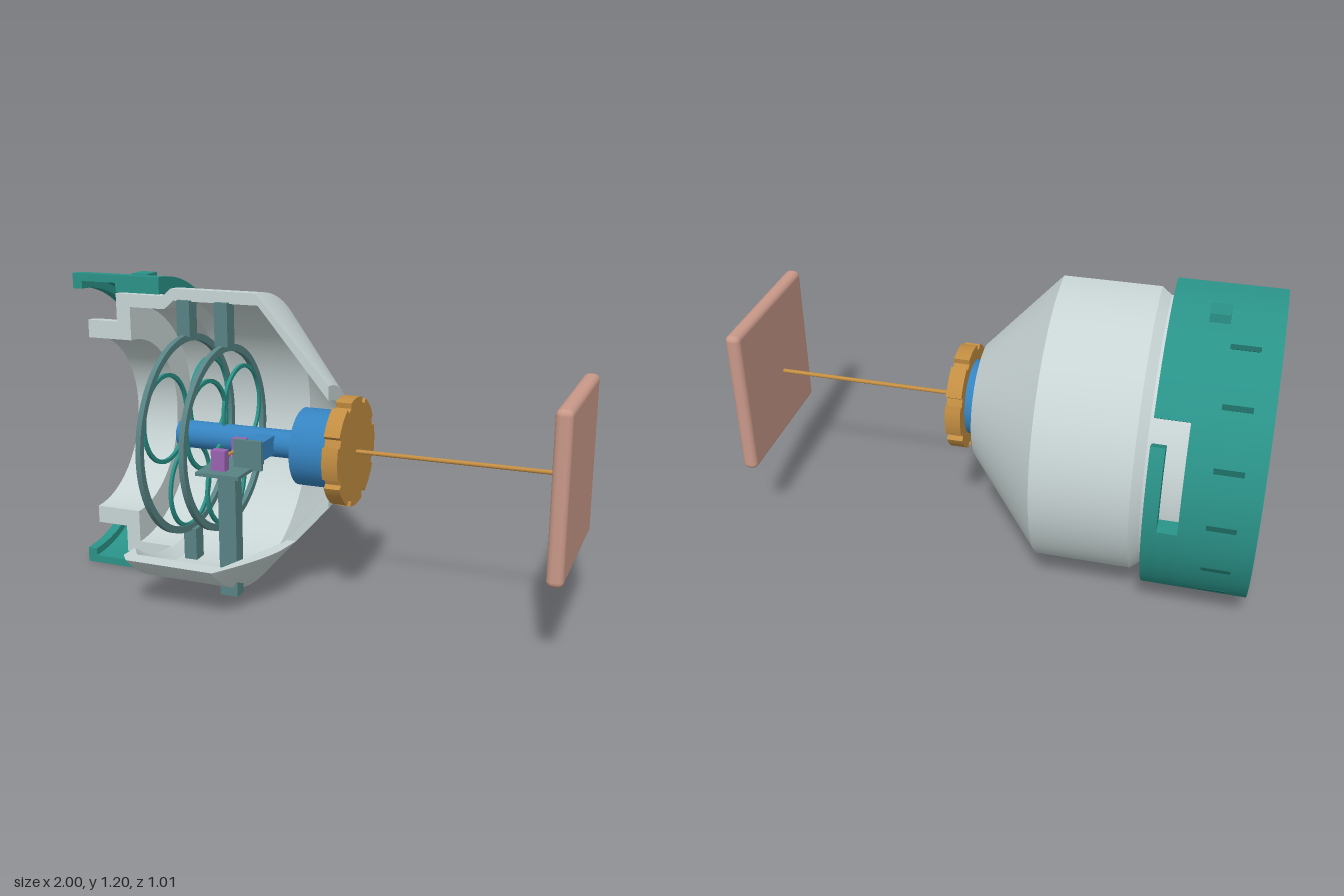
import * as THREE from 'three';
import { toCreasedNormals } from 'three/addons/utils/BufferGeometryUtils.js';
import { RoundedBoxGeometry } from 'three/addons/geometries/RoundedBoxGeometry.js';

const CY = 0.6, CZ = 0.09; // main axis runs along x
const DEG = Math.PI / 180;

function mat(name, color) {
  const m = new THREE.MeshStandardMaterial({ color });
  m.name = name;
  return m;
}

// Revolve a closed (x, r) profile about the x axis; angle 0 is down, 90 degrees is back.
// The limits may depend on the radius, which gives flat horizontal cuts.
function revolve(profile, from, to, seg) {
  const pos = [];
  const at = ([x, r], u) => {
    const a = from(r) + (to(r) - from(r)) * u;
    return [x, -r * Math.cos(a), -r * Math.sin(a)];
  };
  const tri = (a, b, c) => pos.push(...a, ...b, ...c);
  profile.forEach((p, i) => {
    const q = profile[(i + 1) % profile.length];
    for (let k = 0; k < seg; k++) {
      const a = at(p, k / seg), b = at(p, (k + 1) / seg);
      const c = at(q, k / seg), d = at(q, (k + 1) / seg);
      tri(a, b, c);
      tri(b, d, c);
    }
  });
  // end caps
  const flat = profile.map(([x, r]) => new THREE.Vector2(x, r));
  for (const f of THREE.ShapeUtils.triangulateShape(flat.slice(), [])) {
    const [a, b, c] = f.map((i) => flat[i]);
    const ccw = (b.x - a.x) * (c.y - a.y) - (b.y - a.y) * (c.x - a.x) > 0;
    const [i, j, k] = (ccw ? f : [f[0], f[2], f[1]]).map((n) => profile[n]);
    tri(at(i, 1), at(j, 1), at(k, 1));
    tri(at(i, 0), at(k, 0), at(j, 0));
  }
  const g = new THREE.BufferGeometry();
  g.setAttribute('position', new THREE.Float32BufferAttribute(pos, 3));
  return toCreasedNormals(g, 0.5);
}

const sector = (profile, a, b, seg = 64) => revolve(profile, () => a * DEG, () => b * DEG, seg);
const band = (x0, x1, r0, r1) => [[x0, r0], [x0, r1], [x1, r1], [x1, r0]];

// Split every edge of a profile so that curved cuts stay smooth
function subdivide(profile, n) {
  return profile.flatMap(([x, r], i) => {
    const [X, R] = profile[(i + 1) % profile.length];
    return Array.from({ length: n }, (_, k) => [x + (X - x) * k / n, r + (R - r) * k / n]);
  });
}

export function createModel() {
  const root = new THREE.Group();
  root.name = 'cutawayChamber';
  const white = mat('paleGrey', 0xc8d4d4), teal = mat('teal', 0x2a9288);
  const slate = mat('slateTeal', 0x588384), blue = mat('blue', 0x3583c0);
  const orange = mat('ochre', 0xc28d42), pink = mat('dustyPink', 0xc89888);
  const purple = mat('purple', 0x9a62b0), dark = mat('darkTeal', 0x1b675f);

  const add = (name, geo, m, x = 0, y = CY, z = CZ) => {
    const mesh = new THREE.Mesh(geo, m);
    mesh.name = name;
    mesh.position.set(x, y, z);
    root.add(mesh);
    return mesh;
  };
  // box and cylinder given by their extents
  const box = (name, m, x0, x1, y0, y1, z0, z1) =>
    add(name, new THREE.BoxGeometry(x1 - x0, y1 - y0, z1 - z0), m, (x0 + x1) / 2, (y0 + y1) / 2, (z0 + z1) / 2);
  const rodX = (name, m, x0, x1, r) =>
    add(name, new THREE.CylinderGeometry(r, r, x1 - x0, 40).rotateZ(-Math.PI / 2), m, (x0 + x1) / 2);

  // Half shell with stepped neck, drum and cone
  add('housing', sector([
    [-0.94, 0.35], [-0.94, 0.42], [-0.81, 0.42], [-0.81, 0.53], [-0.605, 0.53], [-0.57, 0.56],
    [-0.22, 0.56], [0.07, 0.235], [0.07, 0.18], [-0.21, 0.515], [-0.56, 0.515], [-0.6, 0.48],
    [-0.75, 0.48], [-0.75, 0.35],
  ], 0, 180), white);

  // Lower front part of the shell, cut flat on top
  const cut = 0.385;
  const lower = subdivide([
    [-0.605, 0.48], [-0.605, 0.53], [-0.57, 0.56], [-0.22, 0.56], [-0.064, cut],
    [-0.101, cut], [-0.21, 0.515], [-0.56, 0.515], [-0.6, 0.48],
  ], 10);
  add('housingTray', revolve(lower, (r) => -Math.acos(Math.min(1, cut / r)), () => 0, 24), white);

  // Half collar with an inner lip and a bayonet window
  add('collar', sector([
    [-1, 0.54], [-1, 0.6], [-0.74, 0.6], [-0.74, 0.535], [-0.81, 0.535], [-0.81, 0.57],
    [-0.96, 0.57], [-0.96, 0.54],
  ], 0, 180), teal);
  const mid = band(-0.74, -0.67, 0.535, 0.6), edge = band(-0.67, -0.62, 0.535, 0.6);
  add('collarMidLower', sector(mid, 0, 85, 32), teal);
  add('collarMidUpper', sector(mid, 124, 180, 24), teal);
  add('collarEdgeLower', sector(edge, 0, 115, 40), teal);
  add('collarEdgeUpper', sector(edge, 124, 180, 24), teal);
  for (const a of [30, 50, 70, 90, 110, 130, 150])
    add('collarSlot', sector(band(-0.93, -0.83, 0.597, 0.602), a - 0.9, a + 0.9, 2), dark);
  for (const s of [-1, 1]) {
    const y = CY + s * 0.55;
    box('collarLug', teal, -0.82, -0.75, y - 0.04, y + 0.04, -0.13, -0.05);
  }

  // Two hoops with curved inner loops and mounting tabs
  for (const [x, r] of [[-0.51, 0.39], [-0.353, 0.36]]) {
    add('hoop', sector(band(x - 0.01, x + 0.01, r - 0.027, r), 0, 360, 72), slate);
    for (let k = 0; k < 3; k++) {
      const a = (k * 120 + 30) * DEG;
      add('innerLoop', sector(band(x - 0.006, x + 0.006, 0.155, 0.17), 0, 360, 40), teal,
        0, CY + Math.sin(a) * (r - 0.185), CZ + Math.cos(a) * (r - 0.185));
    }
    box('hoopTabTop', slate, x - 0.027, x + 0.027, CY + r - 0.005, 1.12, 0.05, 0.11);
    box('hoopTabBottom', slate, x - 0.027, x + 0.027, 0.08, CY - r + 0.005, 0.05, 0.11);
  }

  // Central shaft and hub
  rodX('shaft', blue, -0.54, -0.03, 0.053);
  rodX('hub', blue, -0.03, 0.12, 0.145);
  box('shaftArm', blue, -0.2, -0.13, 0.57, 0.64, 0.13, 0.275);

  // Notched knob
  const pts = [];
  for (let k = 0; k < 8; k++) {
    const a = k * 45;
    const p = (d, r) => pts.push(new THREE.Vector2(Math.cos((a + d) * DEG) * r, Math.sin((a + d) * DEG) * r));
    for (let d = -17; d <= 17; d += 4.25) p(d, 0.203);
    p(18, 0.183);
    p(27, 0.183);
  }
  const knob = new THREE.ExtrudeGeometry(new THREE.Shape(pts), { depth: 0.06, bevelEnabled: false });
  add('knob', toCreasedNormals(knob.rotateY(Math.PI / 2), 0.4), orange, 0.12);

  // Long thin rod and square target plate
  rodX('beamRod', orange, 0.18, 0.915, 0.008);
  add('targetPlate', new RoundedBoxGeometry(0.058, 0.6, 0.6, 4, 0.022), pink, 0.971, 0.6, 0.1);

  // Stand with table, bracket and a pin held between two blocks
  box('standPost', slate, -0.27, -0.2, 0.06, 0.546, 0.275, 0.33);
  box('standTable', slate, -0.32, -0.15, 0.543, 0.556, 0.185, 0.41);
  box('bracket', slate, -0.22, -0.11, 0.55, 0.66, 0.283, 0.297);
  box('blockInner', purple, -0.262, -0.208, 0.565, 0.64, 0.195, 0.228);
  box('blockOuter', purple, -0.262, -0.208, 0.565, 0.64, 0.36, 0.395);
  add('pin', new THREE.CylinderGeometry(0.007, 0.007, 0.15, 12).rotateX(Math.PI / 2), orange, -0.235, 0.603, 0.293);

  return root;
}
